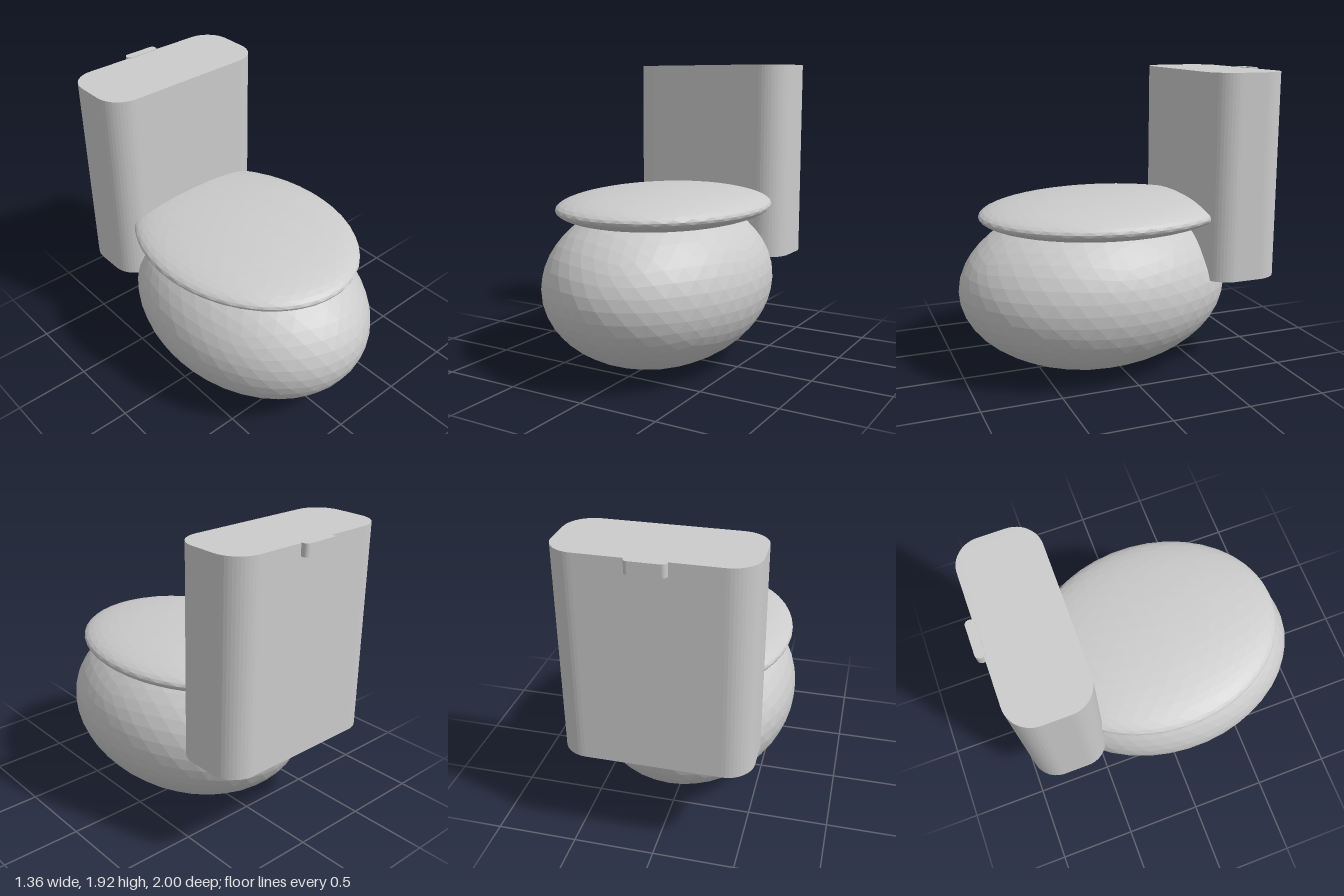
import * as THREE from 'three';

const material = new THREE.MeshStandardMaterial({ color: 0xcccccc, flatShading: true });

// Faceted ellipsoid from an icosphere with one vertex at the top
function ellipsoid(name, radii, position) {
  const geometry = new THREE.IcosahedronGeometry(1, 7);
  geometry.rotateZ(-Math.atan(2 / (1 + Math.sqrt(5))));
  geometry.scale(...radii);
  const mesh = new THREE.Mesh(geometry, material);
  mesh.name = name;
  mesh.position.set(...position);
  return mesh;
}

// Upright block whose plan is a rectangle with rounded corners
function roundedBlock(name, width, depth, height, radius, segments, position) {
  const x = width / 2 - radius, z = depth / 2 - radius;
  const shape = new THREE.Shape();
  [[x, z], [-x, z], [-x, -z], [x, -z]].forEach(([cx, cz], i) => {
    shape.absarc(cx, cz, radius, i * Math.PI / 2, (i + 1) * Math.PI / 2, false);
  });
  shape.closePath();
  const geometry = new THREE.ExtrudeGeometry(shape, {
    depth: height, bevelEnabled: false, curveSegments: segments,
  });
  geometry.rotateX(-Math.PI / 2);
  const mesh = new THREE.Mesh(geometry, material);
  mesh.name = name;
  mesh.position.set(...position);
  return mesh;
}

export function createModel() {
  const group = new THREE.Group();
  group.name = 'toilet';
  group.add(
    // Egg-shaped bowl resting on the ground
    ellipsoid('bowl', [0.68, 0.545, 0.885], [0, 0.55, 0.115]),
    // Flattened closed lid
    ellipsoid('lid', [0.645, 0.125, 0.81], [0, 1.025, 0.05]),
    // Water tank and the flush button at the top of its back
    roundedBlock('tank', 1.14, 0.495, 1.29, 0.165, 6, [0, 0.63, -0.7075]),
    roundedBlock('flushButton', 0.23, 0.056, 0.075, 0.026, 5, [0, 1.85, -0.972]),
  );
  return group;
}
